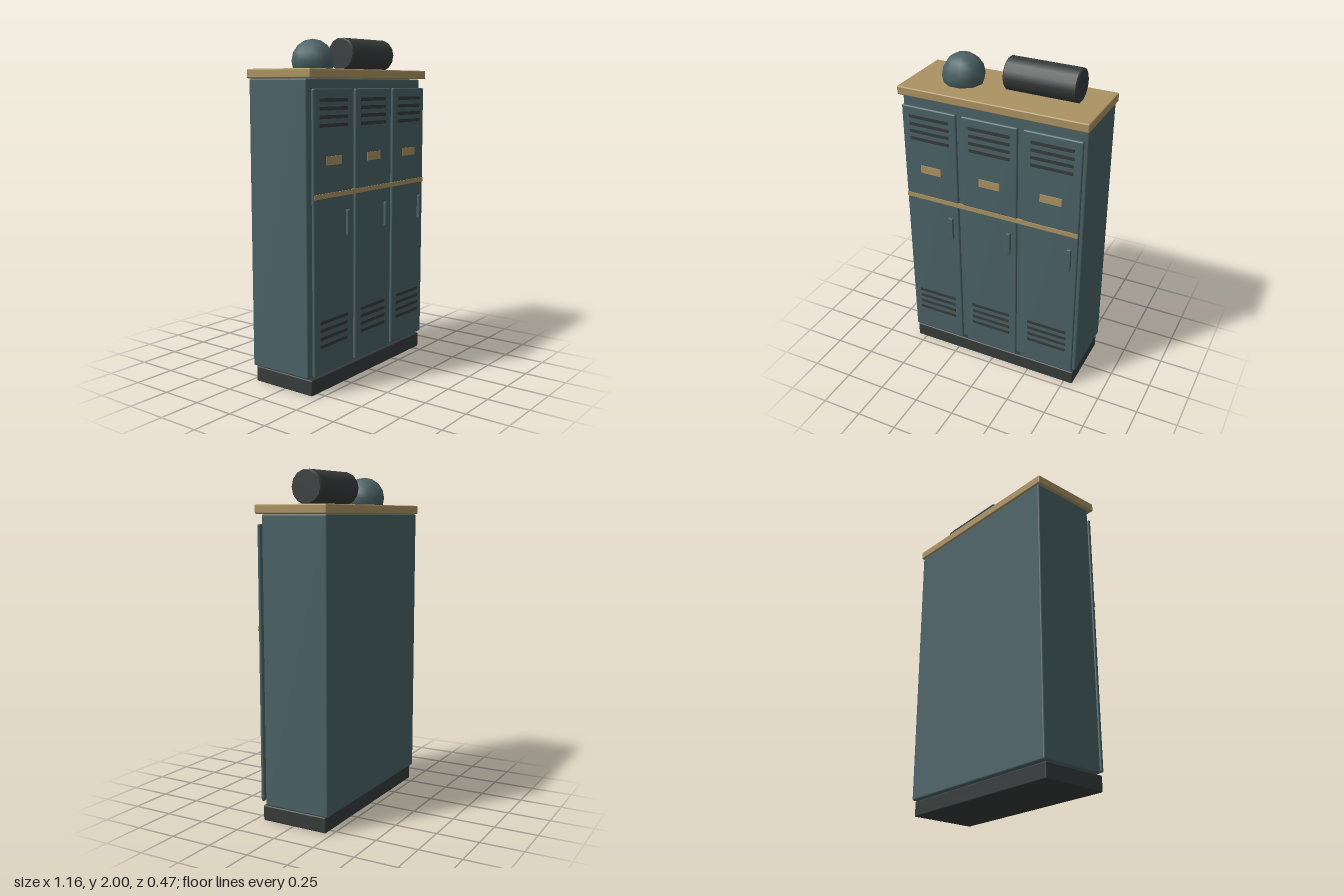
import * as THREE from 'three';
import { RoundedBoxGeometry } from 'three/addons/geometries/RoundedBoxGeometry.js';

function mat(name, color) {
  const m = new THREE.MeshStandardMaterial({ color });
  m.name = name;
  return m;
}

export function createModel() {
  const model = new THREE.Group();
  model.name = 'lockerCabinet';
  const steel = mat('tealSteel', 0x4a6165);
  const wood = mat('paleWood', 0xab9262);
  const dark = mat('darkRubber', 0x363b3a);

  const add = (parent, name, geometry, material, x, y, z) => {
    const mesh = new THREE.Mesh(geometry, material);
    mesh.name = name;
    mesh.position.set(x, y, z);
    parent.add(mesh);
    return mesh;
  };
  // box from its lower and upper limits, with softened edges when r > 0
  const box = (parent, name, material, x0, x1, y0, y1, z0, z1, r = 0) => {
    const size = [x1 - x0, y1 - y0, z1 - z0];
    const geometry = r ? new RoundedBoxGeometry(...size, 2, r) : new THREE.BoxGeometry(...size);
    return add(parent, name, geometry, material, (x0 + x1) / 2, (y0 + y1) / 2, (z0 + z1) / 2);
  };

  // plinth, cabinet body and worktop
  box(model, 'plinth', dark, -0.558, 0.558, 0, 0.092, -0.215, 0.202, 0.008);
  box(model, 'cabinetBody', steel, -0.567, 0.567, 0.095, 1.757, -0.232, 0.18, 0.01);
  box(model, 'worktop', wood, -0.58, 0.58, 1.758, 1.81, -0.238, 0.219, 0.008);

  // three doors, each with vents, name plate and handle
  for (const cx of [-0.38, 0, 0.38]) {
    const door = new THREE.Group();
    door.name = 'door';
    door.position.x = cx;
    model.add(door);
    box(door, 'doorPanel', steel, -0.174, 0.174, 0.112, 1.703, 0.2, 0.221, 0.009);
    for (const top of [1.641, 0.412]) {
      for (let i = 0; i < 4; i++) {
        const y = top - i * 0.0455;
        box(door, 'ventSlot', dark, -0.127, 0.127, y - 0.01, y + 0.01, 0.217, 0.223);
      }
    }
    box(door, 'namePlate', wood, -0.066, 0.066, 1.288, 1.336, 0.217, 0.226);
    box(door, 'handle', steel, 0.111, 0.138, 0.877, 1.024, 0.216, 0.237, 0.004);
  }

  // wooden strip across the doors
  box(model, 'trimStrip', wood, -0.55, 0.55, 1.108, 1.135, 0.214, 0.226);

  // ball resting on the worktop
  add(model, 'ball', new THREE.SphereGeometry(0.125, 10, 8), steel, -0.272, 1.855, -0.011);

  // rolled mat lying on its side, with chamfered ends
  const roll = new THREE.Group();
  roll.name = 'rolledMat';
  roll.position.set(0.224, 1.904, -0.028);
  roll.rotation.z = -Math.PI / 2;
  model.add(roll);
  const r = 0.097, half = 0.216, c = 0.007, sides = 14;
  add(roll, 'rollSide', new THREE.CylinderGeometry(r, r, 2 * (half - c), sides, 1, true), dark, 0, 0, 0);
  for (const s of [1, -1]) {
    const end = new THREE.CylinderGeometry(r - c, r, c, sides);
    const mesh = add(roll, 'rollEnd', end, dark, 0, s * (half - c / 2), 0);
    if (s < 0) mesh.rotation.x = Math.PI;
  }
  return model;
}
